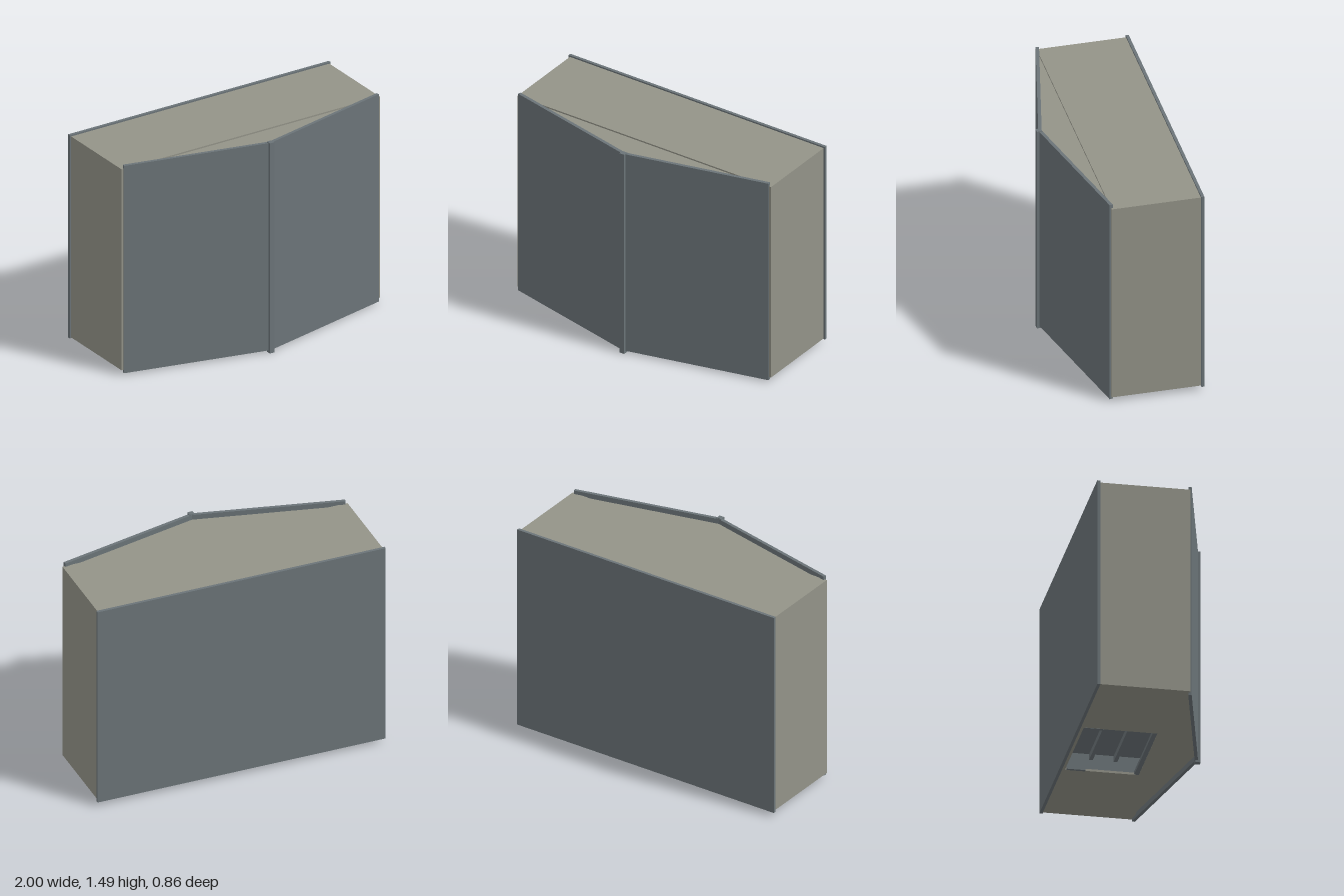
import * as THREE from 'three';

export function createModel() {
  const model = new THREE.Group();
  const slate = new THREE.MeshStandardMaterial({ color: 0x6b7478 });
  slate.name = 'slate panel';
  const stone = new THREE.MeshStandardMaterial({ color: 0x939388 });
  stone.name = 'warm grey shell';

  const add = (name, geometry, material, x, y, z) => {
    const mesh = new THREE.Mesh(geometry, material);
    mesh.name = name;
    mesh.position.set(x, y, z);
    model.add(mesh);
    return mesh;
  };
  // Box given by its lower and upper corners
  const box = (name, material, [x0, y0, z0], [x1, y1, z1]) =>
    add(name, new THREE.BoxGeometry(x1 - x0, y1 - y0, z1 - z0), material,
      (x0 + x1) / 2, (y0 + y1) / 2, (z0 + z1) / 2);
  // Floor-plan outline (x, z) extruded downwards from the height top
  const slab = (name, material, points, top, depth, hole) => {
    const toPoints = (list) => list.map(([x, z]) => new THREE.Vector2(x, z));
    const shape = new THREE.Shape(toPoints(points));
    if (hole) shape.holes.push(new THREE.Path(toPoints(hole)));
    const geometry = new THREE.ExtrudeGeometry(shape, { depth, bevelEnabled: false });
    geometry.rotateX(Math.PI / 2);
    return add(name, geometry, material, 0, top, 0);
  };

  // Rear panel, slightly larger than the cabinet
  box('backPanel', slate, [-1, 0.03, -0.43], [1, 1.47, -0.41]);

  // Cabinet shell with an opening in its floor
  box('cabinetTop', stone, [-0.975, 1.445, -0.41], [0.975, 1.46, 0.18]);
  slab('cabinetFloor', stone,
    [[-0.975, -0.41], [0.975, -0.41], [0.975, 0.18], [-0.975, 0.18]], 0.05, 0.015,
    [[-0.32, -0.39], [-0.32, 0.09], [0.32, 0.09], [0.32, -0.39]]);
  for (const s of [-1, 1]) {
    const side = box('cabinetSide', stone, [0.975, 0.035, -0.41], [0.99, 1.46, 0.18]);
    side.position.x *= s;
  }

  // Wedge behind the angled front
  slab('frontWedge', stone, [[-0.97, 0.17], [0.97, 0.17], [0, 0.4]], 1.45, 1.4);

  // Two angled front panels meeting at a centre strip
  const angle = Math.atan2(0.228, 0.98);
  for (const s of [-1, 1]) {
    const panel = add('frontPanel', new THREE.BoxGeometry(1.0, 1.47, 0.022), slate,
      s * 0.488, 0.75, 0.292);
    panel.rotation.y = s * angle;
  }
  box('centreStrip', slate, [-0.018, 0, 0.395], [0.018, 1.49, 0.43]);

  // Recess above the floor opening
  box('recessCeiling', slate, [-0.34, 0.16, -0.4], [0.34, 0.17, 0.11]);
  box('recessFront', slate, [-0.34, 0.05, 0.1], [0.34, 0.16, 0.11]);
  box('recessBack', slate, [-0.34, 0.05, -0.405], [0.34, 0.16, -0.395]);
  for (const s of [-1, 1]) {
    const wall = box('recessSide', slate, [0.33, 0.05, -0.395], [0.34, 0.16, 0.1]);
    wall.position.x *= s;
    const clip = box('openingClip', slate, [0.305, 0.033, -0.38], [0.325, 0.05, -0.26]);
    clip.position.x *= s;
  }
  // Slats and lip across the opening
  box('openingLip', slate, [-0.32, 0.036, 0.06], [0.32, 0.06, 0.09]);
  for (const z of [-0.22, -0.06]) {
    box('recessSlat', slate, [-0.33, 0.12, z - 0.012], [0.33, 0.16, z + 0.012]);
  }

  return model;
}
